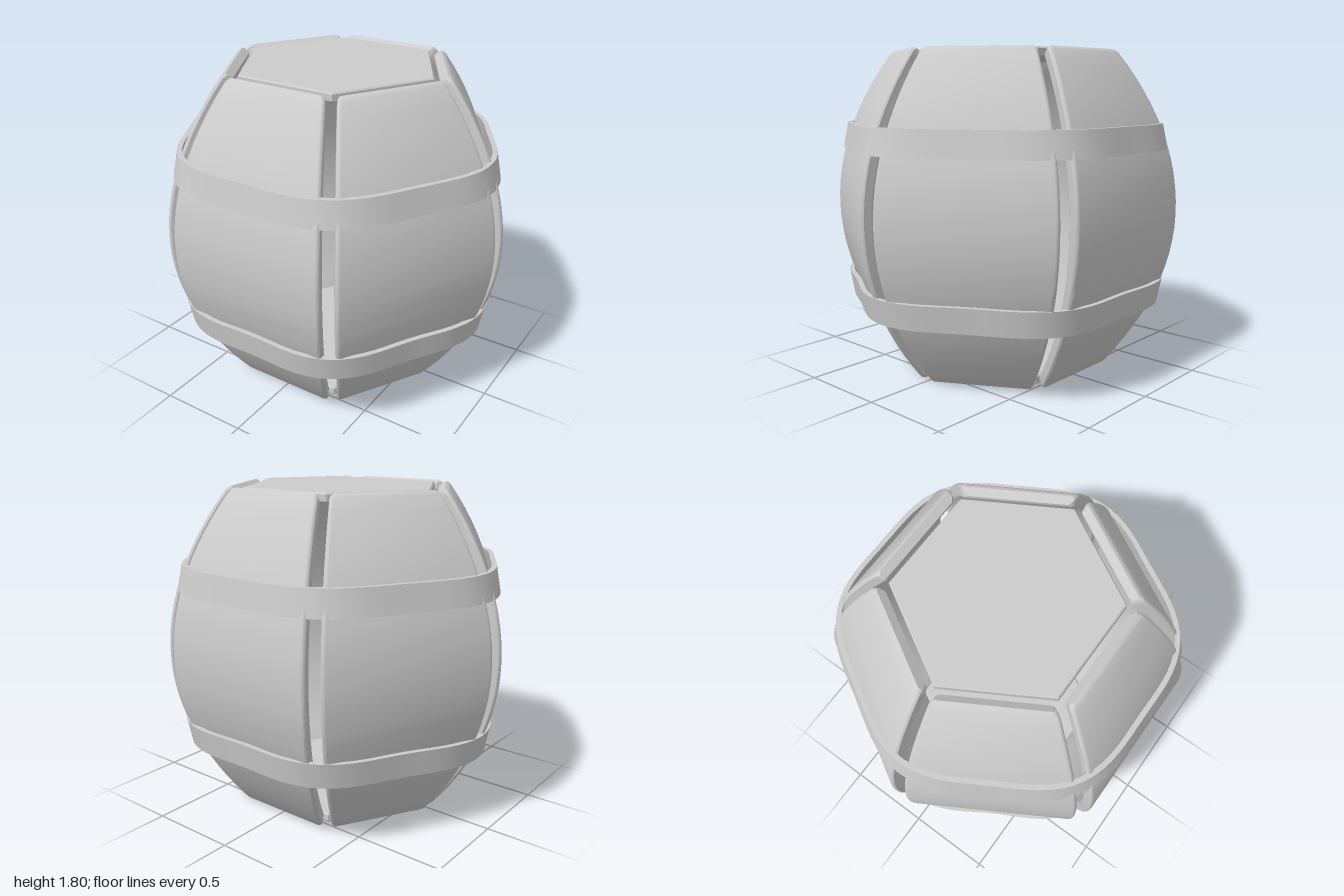
import * as THREE from 'three';
import { toCreasedNormals } from 'three/addons/utils/BufferGeometryUtils.js';

const HEIGHT = 1.81, BELLY = 0.92, THICK = 0.07;
const material = new THREE.MeshStandardMaterial({ color: 0xcccccc });

// Skin a list of equal-length rings; either cap the ends or close the loop.
function loft(rings, closed) {
  const n = rings[0].length, count = rings.length, index = [];
  for (let i = 0; i < (closed ? count : count - 1); i++) {
    const k = (i + 1) % count;
    for (let j = 0; j < n; j++) {
      const m = (j + 1) % n;
      index.push(i * n + j, i * n + m, k * n + m, i * n + j, k * n + m, k * n + j);
    }
  }
  if (!closed) {
    const top = (count - 1) * n;
    for (let j = 1; j < n - 1; j++) {
      index.push(0, j + 1, j, top, top + j, top + j + 1);
    }
  }
  const geometry = new THREE.BufferGeometry();
  geometry.setAttribute('position', new THREE.Float32BufferAttribute(rings.flat(2), 3));
  geometry.setIndex(index);
  return toCreasedNormals(geometry, 0.6);
}

// Bulging outer profile: distance of a stave's face from the axis, and its slope.
const drop = y => (y > BELLY ? 0.315 / 0.89 ** 2 : 0.35 / BELLY ** 2);
const radius = y => 0.89 - drop(y) * (y - BELLY) ** 2;
const slope = y => -2 * drop(y) * (y - BELLY);

// Rounded plank section at height y; inset shrinks it for the bevelled ends.
function staveRing(y, inset) {
  const r = radius(y), s = slope(y), len = Math.hypot(1, s);
  const w = 0.535 * r - 0.015, b = 0.018;
  const ring = [];
  const corners = [[-1, 0, Math.PI], [1, 0, Math.PI / 2], [1, 1, 0], [-1, 1, -Math.PI / 2]];
  for (const [side, inner, start] of corners) {
    for (let k = 0; k <= 3; k++) {
      const a = start - k * Math.PI / 6;
      const half = w - 0.2 * THICK * inner - inset - b;
      const u = side * half + b * Math.cos(a);
      const centre = inner ? THICK - inset - b : inset + b;
      const depth = centre - b * Math.sin(a);
      ring.push([u, y + depth * s / len, r - depth / len]);
    }
  }
  return ring;
}

function staveGeometry() {
  const rings = [staveRing(0, 0.012), staveRing(0.012, 0.003)];
  const steps = 24;
  for (let i = 0; i <= steps; i++) {
    rings.push(staveRing(0.025 + (HEIGHT - 0.05) * i / steps, 0));
  }
  rings.push(staveRing(HEIGHT - 0.012, 0.003), staveRing(HEIGHT, 0.012));
  // corners run left to right on the outside, then back along the inside
  return loft(rings, false);
}

// Soft six-sided band, tapered to follow the barrel.
function hoopGeometry(y0, y1, flat0, flat1, corner0, corner1) {
  const rings = [], steps = 96, t = 0.028;
  for (let i = 0; i < steps; i++) {
    const a = i / steps * Math.PI * 2, c = Math.cos(a), s = Math.sin(a);
    const blend = 0.5 + 0.5 * Math.cos(6 * a);
    const r0 = flat0 + (corner0 - flat0) * blend;
    const r1 = flat1 + (corner1 - flat1) * blend;
    const section = [[r0 - t, y0], [r0, y0], [r1, y1], [r1 - t, y1]];
    rings.push(section.map(([r, y]) => [r * c, y, r * s]));
  }
  return loft(rings, true);
}

// Hexagonal end board with a small bevel.
function lidGeometry(y0, y1) {
  const b = 0.008, R = 0.575;
  const profile = [[0, y0], [R - b, y0], [R, y0 + b], [R, y1 - b], [R - b, y1], [0, y1]];
  const geometry = new THREE.LatheGeometry(profile.map(p => new THREE.Vector2(...p)), 6);
  geometry.rotateY(Math.PI / 6);
  return toCreasedNormals(geometry, 0.3);
}

export function createModel() {
  const barrel = new THREE.Group();
  barrel.name = 'barrel';
  const add = (name, geometry) => {
    const mesh = new THREE.Mesh(geometry, material);
    mesh.name = name;
    barrel.add(mesh);
    return mesh;
  };

  // Six curved staves
  const stave = staveGeometry();
  for (let i = 0; i < 6; i++) add('stave', stave).rotation.y = i * Math.PI / 3;

  // End boards
  add('bottomLid', lidGeometry(0.02, 0.07));
  add('topLid', lidGeometry(1.75, 1.8));

  // Hoops
  add('upperHoop', hoopGeometry(1.26, 1.4, 0.88, 0.855, 0.94, 0.91));
  add('lowerHoop', hoopGeometry(0.39, 0.53, 0.837, 0.858, 0.905, 0.932));

  return barrel;
}
